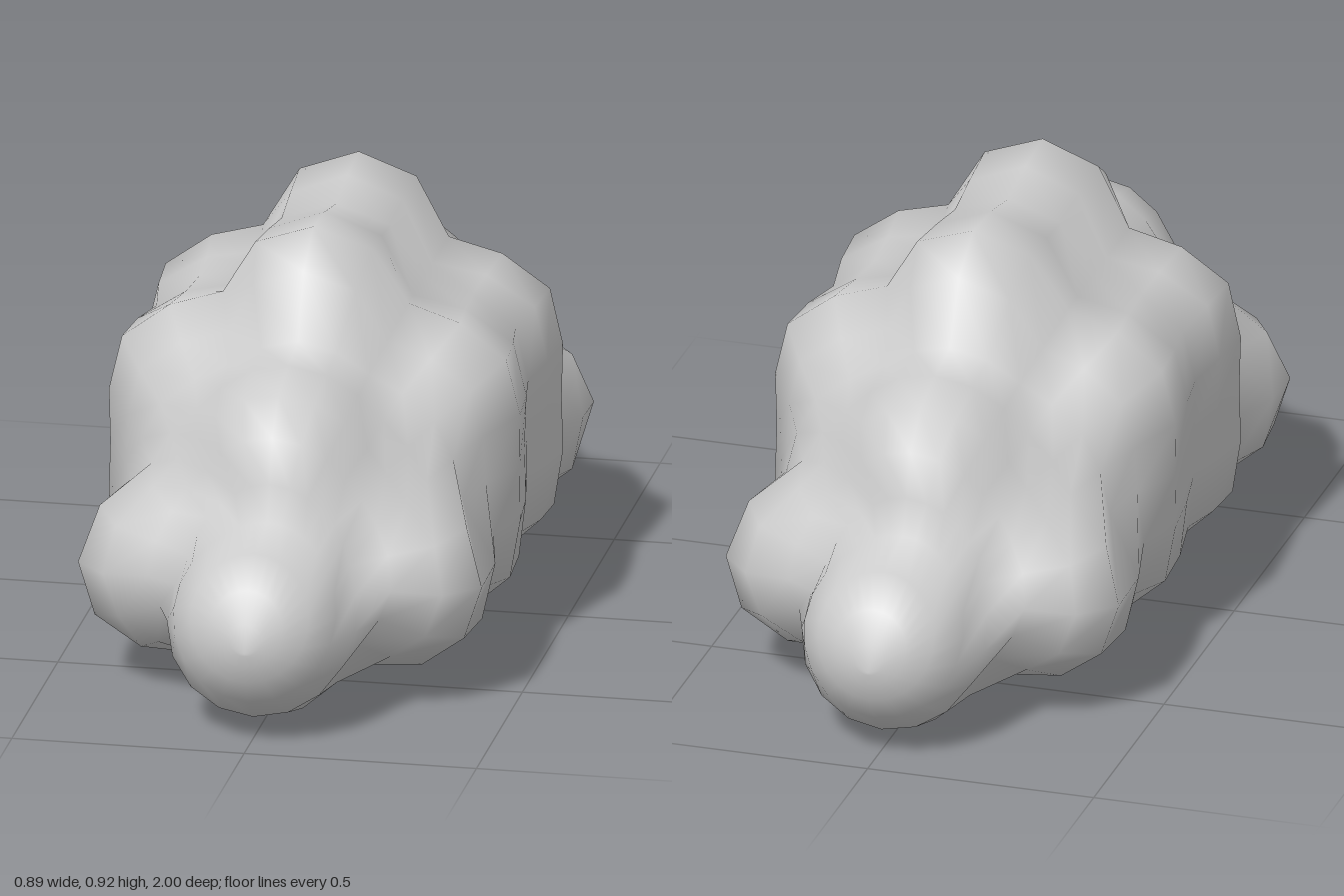
import * as THREE from 'three';
import { mergeVertices } from 'three/addons/utils/BufferGeometryUtils.js';

// Puffs as [x, y, z, radius]; mirrored in x and z below
const PUFFS = [
  [0, 0.23, 0.795, 0.203],     // end puff
  [0, 0.25, 0.65, 0.19],       // end neck
  [0.26, 0.265, 0.54, 0.188],  // outer side puff
  [0.12, 0.37, 0.53, 0.18],    // outer shoulder
  [0, 0.51, 0.52, 0.2],        // outer top puff
  [0.1, 0.24, 0.53, 0.185],    // outer base
  [0.24, 0.265, 0.365, 0.165], // valley side
  [0.16, 0.45, 0.36, 0.19],    // valley shoulder
  [0, 0.52, 0.36, 0.2],        // valley top
  [0.12, 0.225, 0.36, 0.18],   // valley base
  [0.27, 0.255, 0.19, 0.18],   // middle side, low
  [0.262, 0.41, 0.19, 0.18],   // middle side, centre
  [0.27, 0.56, 0.19, 0.178],   // middle side, high
  [0, 0.735, 0.2, 0.2],        // crown
  [0, 0.2, 0.19, 0.193],       // middle base
  [0.14, 0.23, 0.19, 0.185],   // middle base, outer
  [0.24, 0.26, 0, 0.172],      // saddle side, low
  [0.235, 0.41, 0, 0.172],     // saddle side, centre
  [0.24, 0.55, 0, 0.172],      // saddle side, high
  [0, 0.705, 0, 0.19],         // saddle crown
  [0.1, 0.215, 0, 0.185],      // saddle base
];

const puffs = [];
for (const [x, y, z, r] of PUFFS)
  for (const sx of x ? [1, -1] : [1])
    for (const sz of z ? [1, -1] : [1]) puffs.push([x * sx, y, z * sz, r]);

// Softly blended distance to all puffs
const K = 0.018;
function distance(p) {
  let sum = 0;
  for (const [x, y, z, r] of puffs)
    sum += Math.exp(-(Math.hypot(p.x - x, p.y - y, p.z - z) - r) / K);
  return -K * Math.log(sum);
}

// Shrink-wrap a ball onto the puffs, aiming at a curved spine along z
function cloudGeometry() {
  let geo = new THREE.SphereGeometry(1, 24, 26).rotateX(Math.PI / 2);
  geo.deleteAttribute('uv');
  geo.deleteAttribute('normal');
  geo = mergeVertices(geo, 1e-4);
  const pos = geo.attributes.position;
  const dir = new THREE.Vector3(), spine = new THREE.Vector3(), p = new THREE.Vector3();
  for (let i = 0; i < pos.count; i++) {
    dir.fromBufferAttribute(pos, i).normalize();
    const s = Math.asin(dir.z) / (Math.PI / 2);
    spine.set(0, 0.23 + 0.19 * (1 - s * s), 0.78 * s);
    let t = 1;
    for (let step = 0; step < 80; step++) {
      p.copy(spine).addScaledVector(dir, t);
      const d = distance(p);
      if (d < 0.0005 || t <= 0) break;
      t -= d;
    }
    pos.setXYZ(i, p.x, p.y, p.z);
  }

  // Stand the lowest point on the ground
  geo.computeBoundingBox();
  geo.translate(0, -geo.boundingBox.min.y, 0);
  geo.computeVertexNormals();
  return geo;
}

export function createModel() {
  const group = new THREE.Group();
  group.name = 'cloud';
  const body = new THREE.Mesh(cloudGeometry(), new THREE.MeshStandardMaterial({ color: 0xcccccc }));
  body.name = 'cloudBody';
  group.add(body);
  return group;
}
